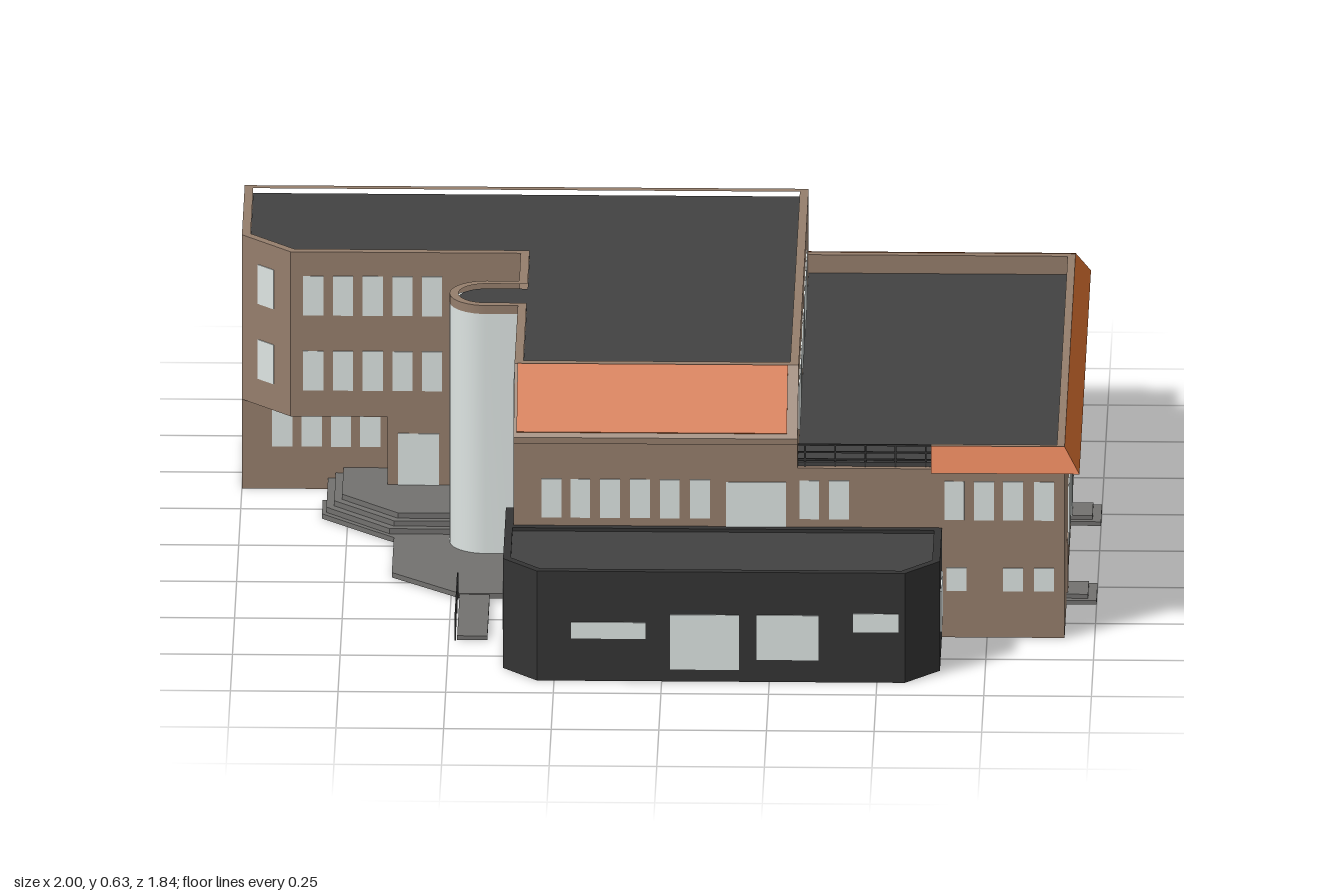
import * as THREE from 'three';
import { toCreasedNormals } from 'three/addons/utils/BufferGeometryUtils.js';

const material = (name, color, side = THREE.FrontSide) => {
  const m = new THREE.MeshStandardMaterial({ color, side });
  m.name = name;
  return m;
};

export function createModel() {
  const model = new THREE.Group();
  model.name = 'building';
  const brick = material('brown brick', 0x957e6c);
  const roofing = material('dark roofing', 0x424242);
  const black = material('black cladding', 0x343434);
  const orange = material('orange tile', 0xcf6a2e, THREE.DoubleSide);
  const glass = material('pale glass', 0xdde4e2);
  const stone = material('grey paving', 0x72716f);
  const olive = material('olive floor', 0x7c642a);

  const add = (name, geo, mat) => {
    const mesh = new THREE.Mesh(geo, mat);
    mesh.name = name;
    model.add(mesh);
    return mesh;
  };
  // Box given by its limits
  const box = (name, mat, x0, x1, y0, y1, z0, z1) => {
    const m = add(name, new THREE.BoxGeometry(x1 - x0, y1 - y0, z1 - z0), mat);
    m.position.set((x0 + x1) / 2, (y0 + y1) / 2, (z0 + z1) / 2);
  };
  // Upright prism over a plan outline of [x, z] points
  const prism = (name, mat, plan, y0, y1, hole) => {
    const v = (pts) => pts.map(([x, z]) => new THREE.Vector2(x, -z));
    const shape = new THREE.Shape(v(plan));
    if (hole) shape.holes.push(new THREE.Path(v(hole)));
    const geo = new THREE.ExtrudeGeometry(shape, { depth: y1 - y0, bevelEnabled: false });
    geo.rotateX(-Math.PI / 2).translate(0, y0, 0);
    add(name, toCreasedNormals(geo, 0.4), mat);
  };
  // Plan outline moved inwards by d
  const inset = (plan, d) => {
    const n = plan.length;
    let area = 0;
    plan.forEach(([x, z], i) => { const q = plan[(i + 1) % n]; area += x * q[1] - q[0] * z; });
    const s = Math.sign(area);
    const normal = (a, b) => {
      const l = Math.hypot(b[0] - a[0], b[1] - a[1]);
      return [-s * (b[1] - a[1]) / l, s * (b[0] - a[0]) / l];
    };
    return plan.map((p, i) => {
      const a = normal(plan[(i + n - 1) % n], p), b = normal(p, plan[(i + 1) % n]);
      const k = d / (1 + a[0] * b[0] + a[1] * b[1]);
      return [p[0] + (a[0] + b[0]) * k, p[1] + (a[1] + b[1]) * k];
    });
  };
  // Thin plate on a wall; angle 0 faces +z
  const pane = (x, z, angle, w, y0, y1, mat = glass, name = 'window') => {
    const m = add(name, new THREE.BoxGeometry(w, y1 - y0, 0.004), mat);
    m.position.set(x, (y0 + y1) / 2, z);
    m.rotation.y = angle;
  };
  const arc = (cx, cz, r, from, to, n = 20) => Array.from({ length: n + 1 }, (_, i) => {
    const a = from + (to - from) * i / n;
    return [cx + r * Math.cos(a), cz + r * Math.sin(a)];
  });
  const P = Math.PI, RIGHT = P / 2, LEFT = -P / 2, BACK = P;
  const base = 0.03;

  // Tall block and left wing
  const bulge = [[-0.35, 0.085], ...arc(-0.425, 0, 0.085, P / 2, 1.5 * P), [-0.35, -0.085]];
  const corner = [[-0.35, -0.275], [-0.885, -0.275], [-1, -0.39]];
  const wing = [[-1, -0.73], [-0.35, -0.73], ...corner];
  const upper = [[-1, -0.73], [0.31, -0.73], [0.31, 0.48], [-0.35, 0.48]];
  box('mainBlock', brick, -0.35, 0.31, base, 0.49, -0.73, 0.6);
  prism('leftWing', brick, wing, 0.22, 0.49);
  box('leftWingGroundFloor', brick, -1, -0.35, base, 0.22, -0.73, -0.39);
  box('vestibule', brick, -0.66, -0.35, base, 0.22, -0.39, -0.275);
  prism('topFloor', brick, [...upper, ...corner], 0.49, 0.606);
  prism('stairTower', glass, bulge, 0.012, 0.605);
  const roofPlan = [...upper, ...bulge, ...corner];
  const roofInner = inset(roofPlan, 0.02);
  prism('mainRoof', roofing, roofInner, 0.605, 0.614);
  prism('mainParapet', brick, roofPlan, 0.605, 0.626, roofInner);

  // Sloped front of the tall block
  const gable = new THREE.Shape([[0.48, 0.49], [0.61, 0.49], [0.48, 0.626]].map(([z, y]) => new THREE.Vector2(z, y)));
  const wedge = new THREE.ExtrudeGeometry(gable, { depth: 0.66, bevelEnabled: false });
  add('slopeBody', wedge.rotateY(-P / 2).translate(0.31, 0, 0), brick);
  const slope = add('slopeTiles', new THREE.BoxGeometry(0.628, 0.006, 0.174), orange);
  slope.position.set(-0.029, 0.5625, 0.5416);
  slope.rotation.x = Math.atan2(0.136, 0.13);
  box('cornice', brick, -0.35, 0.31, 0.475, 0.49, 0.59, 0.61);

  // Lower right wing with parapet and orange eaves
  box('rightWing', brick, 0.31, 0.93, base, 0.415, -0.73, 0.6);
  box('rightRoof', roofing, 0.31, 0.915, 0.415, 0.425, -0.715, 0.585);
  box('sideParapet', brick, 0.912, 0.93, 0.415, 0.47, -0.73, 0.6);
  box('backParapet', brick, 0.31, 0.912, 0.415, 0.47, -0.73, -0.712);
  box('frontParapet', brick, 0.62, 0.912, 0.415, 0.47, 0.582, 0.6);
  const top = [[0.62, 0.6], [0.93, 0.6], [0.93, -0.73], [0.31, -0.73]];
  const rim = [[0.62, 0.63], [0.965, 0.63], [0.965, -0.77], [0.31, -0.77]];
  const strip = (name, a, ya, b, yb) => {
    const pos = [];
    for (let i = 0; i < a.length - 1; i++) {
      const c = [[b[i], yb], [b[i + 1], yb], [a[i + 1], ya], [a[i], ya]].map(([p, y]) => [p[0], y, p[1]]);
      pos.push(...c[0], ...c[1], ...c[2], ...c[0], ...c[2], ...c[3]);
    }
    const geo = new THREE.BufferGeometry();
    geo.setAttribute('position', new THREE.Float32BufferAttribute(pos, 3));
    geo.computeVertexNormals();
    add(name, geo, orange);
  };
  strip('eaves', top, 0.472, rim, 0.415);
  strip('eavesSoffit', rim, 0.415, top, 0.413);

  // Terrace railing
  for (const y of [0.43, 0.448, 0.466]) box('terraceRail', black, 0.31, 0.62, y, y + 0.004, 0.584, 0.588);
  for (let i = 0; i < 5; i++) box('terracePost', black, 0.325 + i * 0.07, 0.329 + i * 0.07, 0.415, 0.47, 0.584, 0.588);

  // Black front block
  const front = [[-0.37, 0.6], [-0.37, 0.83], [-0.29, 0.915], [0.565, 0.915], [0.645, 0.83], [0.645, 0.6]];
  const frontInner = inset(front, 0.018);
  prism('frontBlock', black, front, base, 0.255);
  prism('frontRoof', roofing, frontInner, 0.255, 0.262);
  prism('frontParapet', black, front, 0.255, 0.27, frontInner);
  box('frontBlockReturn', black, -0.37, -0.35, 0, 0.27, 0.48, 0.6);

  // Back block with a recessed side entrance
  const rear = [[0.14, -0.73], [0.14, -0.85], [0.21, -0.92], [0.93, -0.92], [0.93, -0.73]];
  const rearInner = inset(rear, 0.02);
  const rearBody = [...rear.slice(0, 3), [0.81, -0.92], [0.81, -0.73]];
  prism('backBlock', brick, rearBody, 0.004, 0.345);
  box('entranceLintel', brick, 0.81, 0.93, 0.24, 0.345, -0.92, -0.73);
  box('entranceWall', brick, 0.81, 0.93, 0.004, 0.24, -0.92, -0.9);
  prism('backRoof', roofing, rearInner, 0.345, 0.35);
  prism('backBlockParapet', brick, rear, 0.345, 0.36, rearInner);
  for (let i = 0; i < 5; i++) box('entranceStep', stone, 0.81, 0.925 - i * 0.02, i * 0.014, (i + 1) * 0.014, -0.9, -0.73);
  pane(0.811, -0.82, RIGHT, 0.1, 0.07, 0.185, glass, 'entranceDoor');
  pane(0.175, -0.885, -0.75 * P, 0.05, 0.12, 0.26);

  // Round stair turret at the back
  const turret = [[-0.678, -0.73], ...arc(-0.595, -0.787, 0.083, P, 2 * P), [-0.512, -0.73]];
  prism('turret', glass, turret, 0.004, 0.44);
  prism('turretCap', brick, turret, 0.44, 0.45);

  // Front windows
  for (const x of [-0.262, -0.195, -0.126, -0.056, 0.013, 0.083, 0.337, 0.406, 0.674, 0.743, 0.81, 0.882])
    pane(x, 0.601, 0, 0.046, 0.29, 0.385);
  for (const x of [0.679, 0.81, 0.882]) pane(x, 0.601, 0, 0.046, 0.115, 0.172);
  pane(0.213, 0.601, 0, 0.14, 0.27, 0.38, glass, 'terraceDoor');
  for (const [x0, x1, y0, y1] of [[-0.21, -0.037, 0.105, 0.145], [0.02, 0.18, 0.03, 0.165], [0.22, 0.364, 0.055, 0.165], [0.445, 0.55, 0.125, 0.17]])
    pane((x0 + x1) / 2, 0.916, 0, x1 - x0, y0, y1);
  pane(0.646, 0.69, RIGHT, 0.14, 0.07, 0.17);
  pane(-0.371, 0.69, LEFT, 0.14, 0.07, 0.17);

  // Left wing windows
  for (const y of [0.285, 0.47]) {
    for (let i = 0; i < 5; i++) pane(-0.832 + i * 0.069, -0.274, 0, 0.047, y, y + 0.097);
    pane(-0.943, -0.333, -P / 4, 0.053, y, y + 0.097);
    for (const z of [0.19, 0.26, 0.33, 0.4]) pane(-0.351, z, LEFT, 0.046, y, y + 0.097);
  }
  for (let i = 0; i < 4; i++) pane(-0.906 + i * 0.068, -0.389, 0, 0.047, 0.105, 0.2);
  pane(-0.588, -0.274, 0, 0.095, 0.05, 0.18, glass, 'mainDoor');

  // Right side windows and doors
  for (const z of [0.45, 0.378, 0.307, 0.236, 0.17, 0.032, -0.035, -0.16, -0.229, -0.3, -0.368, -0.437])
    pane(0.311, z, RIGHT, 0.047, 0.465, 0.572);
  for (const z of [0.125, 0.039, -0.044, -0.128, -0.33, -0.415, -0.5, -0.585]) pane(0.931, z, RIGHT, 0.062, 0.07, 0.215);
  pane(0.931, -0.231, RIGHT, 0.095, 0.02, 0.215, glass, 'sideDoor');
  pane(0.931, 0.31, RIGHT, 0.07, 0.02, 0.145, brick, 'serviceDoor');
  for (const z of [0.31, -0.231]) {
    box('doorStep', stone, 0.93, 1, 0, 0.01, z - 0.06, z + 0.06);
    box('doorStepTop', stone, 0.93, 0.98, 0.01, 0.02, z - 0.045, z + 0.045);
  }

  // Back windows
  for (const y of [0.1, 0.285, 0.47]) {
    for (const x of [0.085, 0.025, -0.225, -0.29, -0.735, -0.8, -0.865, -0.925]) pane(x, -0.731, BACK, 0.046, y, y + 0.097);
    for (const x of [-0.07, -0.14, -0.38, -0.44]) pane(x, -0.731, BACK, 0.03, y + 0.045, y + 0.09);
  }

  // Forecourt, stepped platform and path
  prism('forecourt', stone, [[-0.81, -0.275], [-0.81, -0.18], [-0.64, -0.02], [-0.64, 0.22], [-0.48, 0.36], [-0.35, 0.36], [-0.35, -0.275]], 0.002, 0.014);
  for (let i = 0; i < 3; i++) {
    const d = i * 0.018;
    prism('platformStep', stone, [[-0.8 + d, -0.39], [-0.8 + d, -0.19 - d / 2], [-0.65 + d / 2, -0.045 - d], [-0.35, -0.045 - d], [-0.35, -0.39]], 0.014 + i * 0.013, 0.027 + i * 0.013);
  }
  box('path', stone, -0.48, -0.41, 0.002, 0.012, 0.36, 0.645);
  box('pathRail', black, -0.486, -0.483, 0.062, 0.065, 0.36, 0.645);
  for (const z of [0.36, 0.455, 0.55, 0.642]) box('pathPost', black, -0.486, -0.483, 0, 0.065, z, z + 0.003);

  // Wall bases around the open underside
  const ground = [[-1, -0.73], [0.93, -0.73], [0.93, 0.6], [-0.35, 0.6], [-0.35, -0.275], [-0.66, -0.275], [-0.66, -0.39], [-1, -0.39]];
  prism('wallBase', brick, ground, 0, base, inset(ground, 0.015));
  prism('frontBase', black, front, 0, base, inset(front, 0.008));
  prism('frontLining', glass, inset(front, 0.008), 0, base, inset(front, 0.022));

  // Floors seen from below, with partition walls
  box('mainFloor', roofing, -0.335, 0.3, base - 0.004, base, -0.715, 0.585);
  prism('frontFloor', olive, inset(front, 0.02), base - 0.004, base);
  box('workshopFloor', olive, -0.3, 0.9, base - 0.006, base, 0.28, 0.585);
  box('storeFloor', olive, 0.05, 0.3, base - 0.006, base, -0.715, -0.45);
  prism('backFloor', roofing, inset(rearBody, 0.015), 0.001, 0.004);
  for (const x of [-0.1, 0.1, 0.3, 0.5]) box('partition', glass, x, x + 0.012, 0, base, 0.28, 0.895);
  for (const z of [0.28, 0.44, 0.75]) box('partition', glass, -0.335, 0.62, 0, base, z, z + 0.012);
  box('partition', glass, 0.3, 0.312, 0, base, -0.715, 0.28);
  box('partition', glass, -0.335, 0.915, 0, base, -0.25, -0.238);
  for (const x of [-0.65, -0.5, -0.35]) box('partition', glass, x, x + 0.012, 0, base, -0.715, -0.405);
  return model;
}
